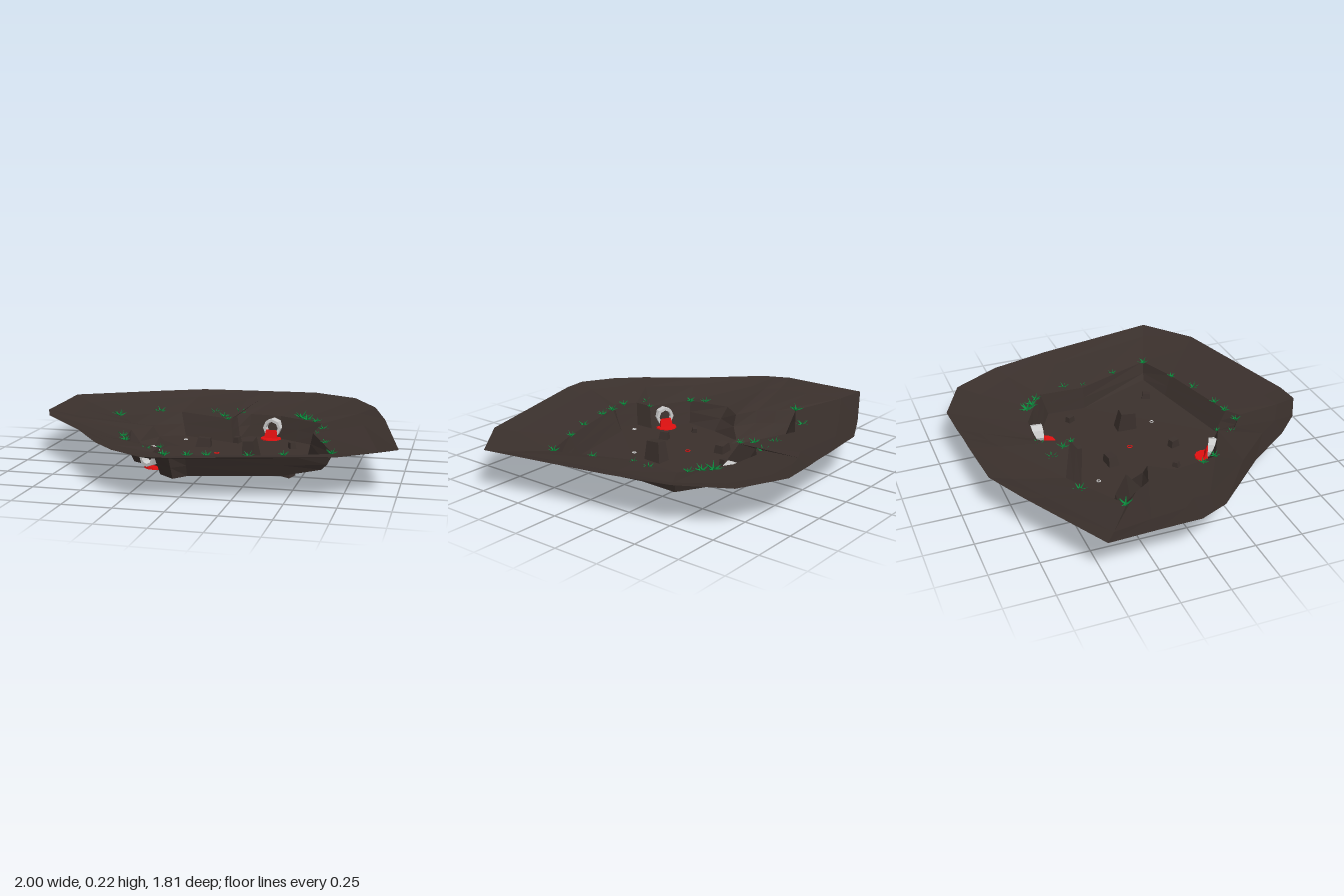
import * as THREE from 'three';

const mat = (color) => new THREE.MeshStandardMaterial({ color, flatShading: true, side: THREE.DoubleSide });
const FLOOR = 0.19, RIM = 0.31, EDGE = 0.38;

// Matching corners of the three outlines, as [x, z], running clockwise from the west
const outer = [[-1, -0.5], [-0.53, -0.75], [-0.3, -0.86], [0, -0.885], [0.1, -0.89], [0.2, -0.9], [0.385, -0.91],
  [0.64, -0.79], [0.785, -0.535], [0.87, -0.21], [1, 0.475], [0.74, 0.685], [-0.02, 0.89], [-0.15, 0.9],
  [-0.32, 0.8], [-0.45, 0.67], [-0.635, 0.42], [-0.92, 0.12], [-0.95, 0.05], [-0.985, -0.03], [-0.99, -0.25]];
const rim = [[-0.66, -0.28], [-0.5, -0.38], [-0.34, -0.48], [-0.01, -0.35], [0, -0.46], [0.07, -0.515], [0.25, -0.5],
  [0.38, -0.43], [0.51, -0.35], [0.5, -0.1], [0.67, 0.34], [0.45, 0.425], [-0.03, 0.55], [-0.1, 0.6],
  [-0.205, 0.52], [-0.205, 0.42], [-0.43, 0.3], [-0.47, 0.06], [-0.385, -0.06], [-0.52, -0.11], [-0.58, -0.2]];
const floor = [[-0.52, -0.3], [-0.42, -0.345], [-0.29, -0.385], [0.015, -0.275], [0.03, -0.4], [0.07, -0.465], [0.24, -0.455],
  [0.35, -0.39], [0.485, -0.315], [0.475, -0.1], [0.61, 0.32], [0.42, 0.375], [-0.035, 0.49], [-0.09, 0.56],
  [-0.175, 0.49], [-0.175, 0.385], [-0.385, 0.27], [-0.36, 0.07], [-0.31, -0.12], [-0.25, -0.125], [-0.4, -0.24]];
// Outer corners of the ledge on the west wall, by corner number
const ledge = { 17: [-0.42, 0.07], 18: [-0.35, -0.07], 19: [-0.48, -0.13], 20: [-0.54, -0.215] };

const mix = (a, b, t) => [a[0] + (b[0] - a[0]) * t, a[1] + (b[1] - a[1]) * t];
const raise = (ring, y) => ring.map(([x, z]) => [x, y, z]);

function meshFrom(name, points, index, material) {
  const g = new THREE.BufferGeometry();
  g.setAttribute('position', new THREE.Float32BufferAttribute(points.flat(), 3));
  g.setIndex(index);
  g.computeVertexNormals();
  const mesh = new THREE.Mesh(g, material);
  mesh.name = name;
  return mesh;
}

// Joins neighbouring rings, listed from the outside inwards
function bands(name, rings, material) {
  const n = rings[0].length, index = [];
  for (let r = 0; r < rings.length - 1; r++) {
    for (let i = 0; i < n; i++) {
      const a = r * n + i, b = r * n + (i + 1) % n;
      index.push(a, a + n, b, b, a + n, b + n);
    }
  }
  return meshFrom(name, rings.flat(), index, material);
}

function add(parent, name, geometry, material, x, y, z) {
  const mesh = new THREE.Mesh(geometry, material);
  mesh.name = name;
  mesh.position.set(x, y, z);
  parent.add(mesh);
  return mesh;
}

export function createModel() {
  const model = new THREE.Group();
  model.name = 'pit';
  const earth = mat(0x3a302c), leaf = mat(0x0a8a3c), red = mat(0xe01010), grey = mat(0xcccccc);

  // Sloping ground round the pit
  const shoulder = outer.map((p, i) => mix(p, rim[i], 0.3));
  model.add(bands('ground', [raise(outer, EDGE), raise(shoulder, 0.352), raise(rim, RIM)], earth));

  // Pit walls, with the ledge on the west side
  const floorRing = raise(floor, FLOOR);
  floorRing[10][1] = 0.22;
  const middle = raise(rim.map((p, i) => ledge[i] || mix(p, floor[i], 0.5)), 0.25);
  model.add(bands('pitWalls', [raise(rim, RIM), middle, floorRing], earth));

  // Pit floor
  const faces = THREE.ShapeUtils.triangulateShape(floor.map(([x, z]) => new THREE.Vector2(x, -z)), []);
  model.add(meshFrom('pitFloor', floorRing, faces.flat(), earth));

  // Rocks: x, z, width, depth, height, turn
  const rocks = [[-0.12, -0.16, 0.095, 0.065, 0.075, 0.1], [0.19, 0.045, 0.08, 0.115, 0.13, -0.05],
    [0.365, -0.225, 0.04, 0.05, 0.06, 0.5], [0.435, 0.265, 0.05, 0.06, 0.07, -0.4], [-0.085, 0.215, 0.045, 0.06, 0.07, 0.3],
    [0.04, -0.29, 0.04, 0.05, 0.06, -0.2], [-0.275, 0.15, 0.04, 0.035, 0.055, 0.7]];
  rocks.forEach(([x, z, w, d, h, turn], i) => {
    const g = new THREE.CylinderGeometry(0.5, 0.707, 1, 4).rotateY(Math.PI / 4).scale(w, h, d);
    const rock = add(model, 'rock', g, earth, x, 0.163 + h / 2, z);
    rock.rotation.set(i % 2 ? 0.08 : -0.06, turn, i % 3 ? 0.07 : -0.08);
  });

  // Drain pipes, each spilling into a puddle
  const wall = [[0.036, -0.03], [0.052, -0.03], [0.052, 0.03], [0.036, 0.03], [0.036, -0.03]];
  const pipeShape = new THREE.LatheGeometry(wall.map(([x, y]) => new THREE.Vector2(x, y)), 8).rotateX(Math.PI / 2);
  const spill = new THREE.Shape([[-0.03, 0], [0.03, 0], [0.04, -0.055], [-0.04, -0.055]].map(([x, y]) => new THREE.Vector2(x, y)));
  for (const [x, z, turn] of [[0.21, -0.465, -0.1], [-0.265, 0.37, Math.PI - 0.48]]) {
    const drain = new THREE.Group();
    drain.name = 'drain';
    drain.position.set(x, 0.25, z);
    drain.rotation.y = turn;
    add(drain, 'pipe', pipeShape, grey, 0, 0, 0);
    const stream = add(drain, 'stream', new THREE.ExtrudeGeometry(spill, { depth: 0.012, bevelEnabled: false }), red, 0, -0.012, 0.026);
    stream.rotation.x = -0.3;
    add(drain, 'puddle', new THREE.CylinderGeometry(0.058, 0.062, 0.012, 12), red, 0, -0.06, 0.042);
    model.add(drain);
  }

  // Small rings lying on the floor
  for (const [x, z, r, m] of [[-0.01, -0.01, 0.013, red], [-0.26, -0.28, 0.01, grey], [0.19, 0.2, 0.01, grey], [-0.1, 0.45, 0.01, grey]]) {
    add(model, 'smallRing', new THREE.TorusGeometry(r, 0.003, 4, 8).rotateX(Math.PI / 2), m, x, FLOOR + 0.002, z);
  }

  // Grass tufts along the rim: x, z, size
  const tufts = [[-0.66, -0.285, 1.2], [-0.46, -0.45, 1.1], [-0.135, -0.49, 1], [0.005, -0.515, 1.1], [-0.065, -0.405, 1],
    [-0.025, -0.345, 0.7], [0.375, -0.47, 1.4], [0.415, -0.43, 1.2], [0.47, -0.39, 0.9], [0.54, -0.2, 0.9], [0.53, -0.09, 0.6],
    [0.6, 0.12, 0.8], [0.66, 0.335, 0.9], [0.44, 0.425, 0.8], [0.275, 0.49, 0.9], [0.075, 0.53, 0.9], [-0.02, 0.545, 0.9],
    [-0.135, 0.56, 0.9], [-0.25, 0.48, 0.9], [-0.2, 0.415, 0.6], [-0.425, 0.295, 0.9], [-0.465, 0.215, 0.9]];
  const blade = new THREE.ConeGeometry(0.006, 0.042, 3).translate(0, 0.021, 0);
  tufts.forEach(([x, z, size], t) => {
    const tuft = new THREE.Group();
    tuft.name = 'grassTuft';
    tuft.position.set(x, 0.308, z);
    tuft.scale.setScalar(size);
    for (let i = 0; i < 7; i++) {
      const b = add(tuft, 'blade', blade, leaf, 0, 0, 0);
      b.rotation.set(0, t + i * Math.PI * 2 / 7, i % 2 ? 0.75 : 1.15);
    }
    model.add(tuft);
  });
  return model;
}
